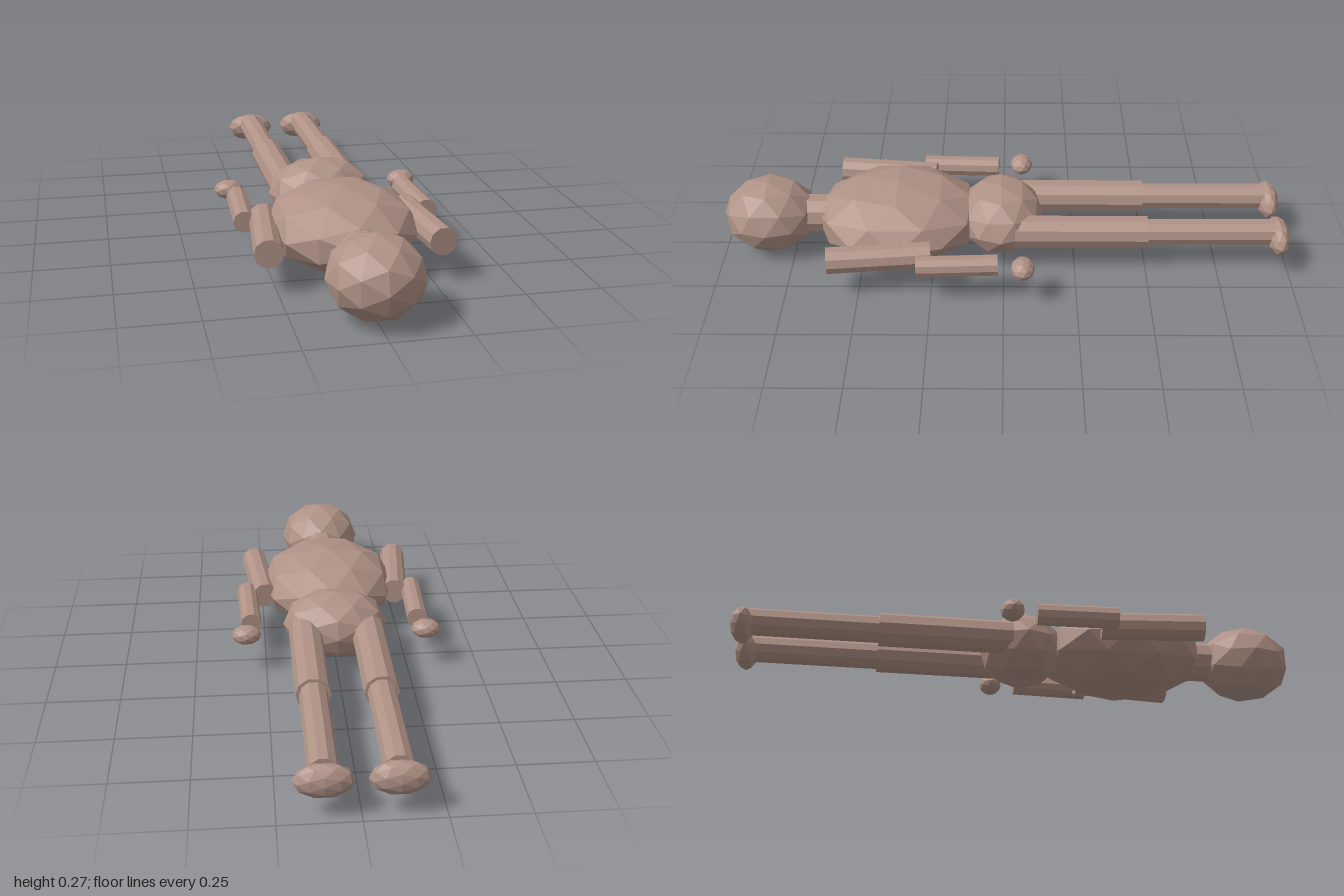
import * as THREE from 'three';

const MID = 0.135; // height of the lying body's centre line

export function createModel() {
  const clay = new THREE.MeshStandardMaterial({ color: 0xb09286, flatShading: true });
  clay.name = 'clay';
  const model = new THREE.Group();
  model.name = 'lyingFigure';

  function add(name, geometry) {
    const mesh = new THREE.Mesh(geometry, clay);
    mesh.name = name;
    model.add(mesh);
    return mesh;
  }

  // Faceted ellipsoid from centre and radii
  function blob(name, center, radii) {
    const g = new THREE.IcosahedronGeometry(1, 1);
    g.scale(...radii);
    g.computeVertexNormals();
    add(name, g).position.set(...center);
  }

  // Ten-sided limb running along z between two (x, z) points
  function limb(name, r, x0, z0, x1, z1) {
    const dx = x1 - x0, dz = z1 - z0;
    const g = new THREE.CylinderGeometry(r, r, Math.hypot(dx, dz), 10);
    g.rotateY(Math.PI / 2);
    g.rotateX(Math.PI / 2);
    g.rotateY(Math.atan2(dx, dz));
    add(name, g).position.set((x0 + x1) / 2, MID, (z0 + z1) / 2);
  }

  // Head, neck and trunk
  blob('head', [0, MID, 0.83], [0.153, 0.132, 0.165]);
  limb('neck', 0.07, 0, 0.62, 0, 0.72);
  blob('torso', [0, MID, 0.37], [0.25, 0.135, 0.3]);
  blob('pelvis', [0, MID, 0.01], [0.185, 0.12, 0.15]);

  // Arms and legs, mirrored
  for (const [side, s] of [['left', 1], ['right', -1]]) {
    limb(side + 'UpperArm', 0.047, s * 0.278, 0.6, s * 0.243, 0.25);
    limb(side + 'Forearm', 0.037, s * 0.31, 0.295, s * 0.299, 0.02);
    blob(side + 'Hand', [s * 0.317, MID, 0.065 * -1], [0.052, 0.034, 0.041]);
    limb(side + 'Thigh', 0.058, s * 0.11, 0, s * 0.11, -0.5);
    limb(side + 'Shin', 0.047, s * 0.11, -0.48, s * 0.11, -0.94);
    blob(side + 'Foot', [s * 0.11, 0.12, -0.96], [0.092, 0.056, 0.04]);
  }
  return model;
}
